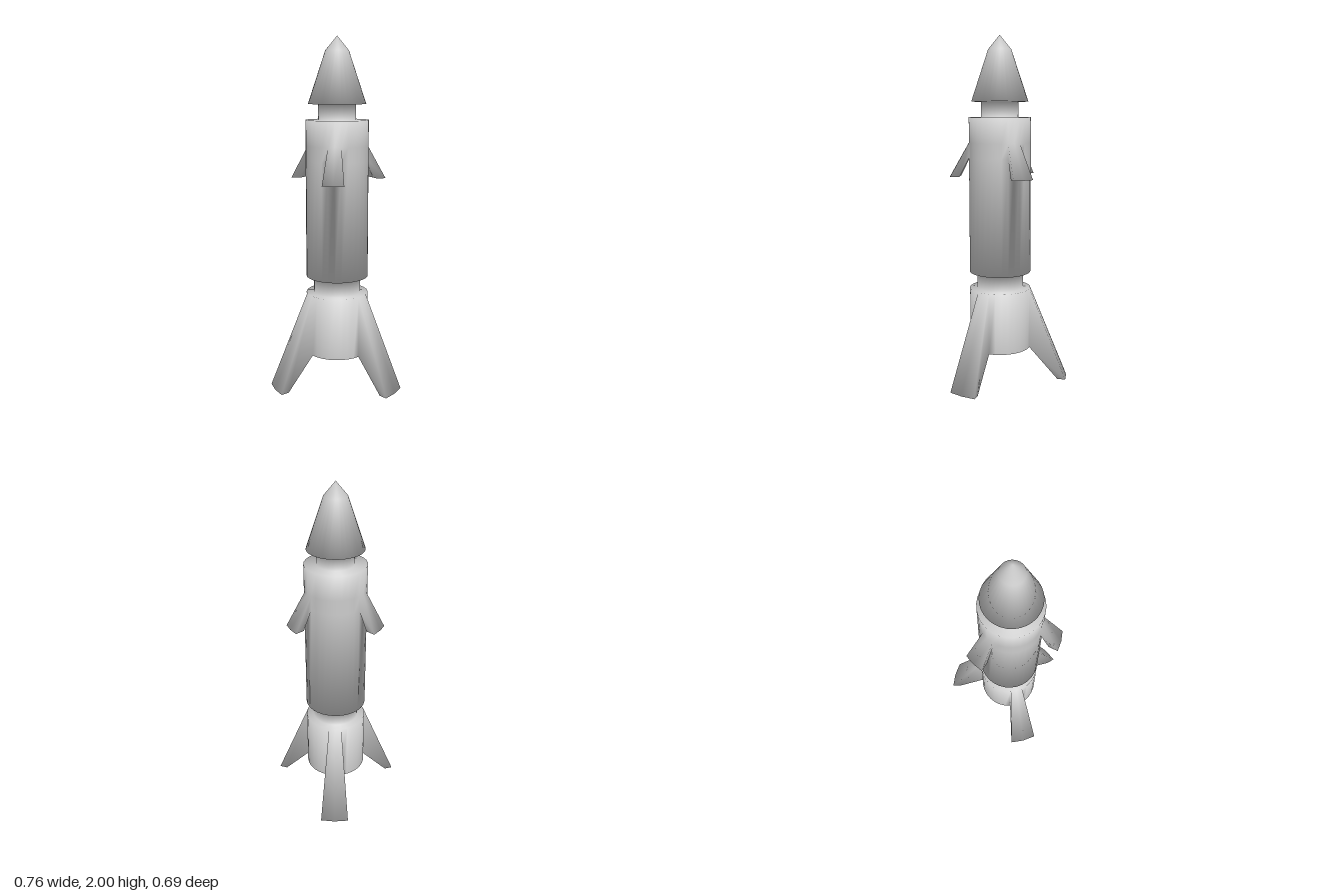
import * as THREE from 'three';

const SEGMENTS = 30;
const STEP = (Math.PI * 2) / SEGMENTS;

// Hull rings [radius, height] from the open engine rim to the nose tip
const rings = [
  [0.179, 0.182], [0.179, 0.54], [0.135, 0.54], [0.135, 0.638], [0.179, 0.638],
  [0.179, 1.31], [0.179, 1.395], [0.179, 1.54],
  [0.107, 1.54], [0.107, 1.628], [0.164, 1.628], [0.066, 1.92], [0, 2],
];

// Each hull part spans a run of rings
const sections = [
  ['engineSection', 0, 2], ['waist', 2, 3], ['body', 3, 8],
  ['neck', 8, 9], ['noseCone', 9, 12],
];

// Fins grow out of two facets of a band; tips are [radius, height], inner then outer
const finKinds = [
  { name: 'landingFin', band: 0, columns: [5, 15, 25], tips: [[0.35, 0], [0.398, 0]] },
  { name: 'upperFin', band: 5, columns: [0, 10, 20], tips: [[0.235, 1.2], [0.29, 1.2]] },
];

// Normals weighted by corner angle, so the joined parts shade into each other
function smoothNormals(positions, index) {
  const normals = positions.map(() => 0);
  const point = (i) => new THREE.Vector3().fromArray(positions, i * 3);
  for (let t = 0; t < index.length; t += 3) {
    const ids = index.slice(t, t + 3);
    const p = ids.map(point);
    for (let k = 0; k < 3; k++) {
      const u = p[(k + 1) % 3].clone().sub(p[k]);
      const v = p[(k + 2) % 3].clone().sub(p[k]);
      const n = u.clone().cross(v).setLength(u.angleTo(v));
      n.toArray().forEach((value, axis) => { normals[ids[k] * 3 + axis] += value; });
    }
  }
  for (let i = 0; i < normals.length; i += 3) {
    new THREE.Vector3().fromArray(normals, i).normalize().toArray(normals, i);
  }
  return normals;
}

export function createModel() {
  const positions = [];
  const parts = [];

  const addPoint = ([r, y], column) => {
    positions.push(r * Math.sin(column * STEP), y, r * Math.cos(column * STEP));
    return positions.length / 3 - 1;
  };
  const addPart = (name) => {
    const part = { name, index: [] };
    parts.push(part);
    return part.index;
  };
  // Quad listed counter-clockwise; collapses to a triangle at the nose tip
  const quad = (index, a, b, c, d) => {
    index.push(a, b, c);
    if (c !== d) index.push(a, c, d);
  };

  // Ring points, with a single shared point at the tip
  const grid = rings.map((ring) => {
    if (ring[0] === 0) return Array(SEGMENTS).fill(addPoint(ring, 0));
    return Array.from({ length: SEGMENTS }, (_, column) => addPoint(ring, column));
  });
  const at = (ring, column) => grid[ring][(column + SEGMENTS) % SEGMENTS];

  // Hull skin, left open where a fin joins it
  const hasFin = (band, column) => finKinds.some((kind) => kind.band === band
    && kind.columns.some((c) => column === c || column === (c + SEGMENTS - 1) % SEGMENTS));
  for (const [name, first, last] of sections) {
    const index = addPart(name);
    for (let band = first; band < last; band++) {
      for (let c = 0; c < SEGMENTS; c++) {
        if (hasFin(band, c)) continue;
        quad(index, at(band, c), at(band, c + 1), at(band + 1, c + 1), at(band + 1, c));
      }
    }
  }

  // Fins: underside, tip and outer face between slices, then the two flanks
  for (const { name, band, columns, tips } of finKinds) {
    for (const column of columns) {
      const index = addPart(name);
      const slices = [column - 1, column, column + 1].map((c) => [
        at(band, c), addPoint(tips[0], c), addPoint(tips[1], c), at(band + 1, c),
      ]);
      for (let k = 0; k < 2; k++) {
        for (let j = 0; j < 3; j++) {
          quad(index, slices[k][j], slices[k + 1][j], slices[k + 1][j + 1], slices[k][j + 1]);
        }
      }
      quad(index, ...slices[0]);
      quad(index, ...slices[2].slice().reverse());
    }
  }

  // All parts share one set of points and normals
  const allFaces = parts.flatMap((part) => part.index);
  const position = new THREE.Float32BufferAttribute(positions, 3);
  const normal = new THREE.Float32BufferAttribute(smoothNormals(positions, allFaces), 3);
  const material = new THREE.MeshStandardMaterial({ color: 0xcccccc, side: THREE.DoubleSide });

  const rocket = new THREE.Group();
  rocket.name = 'rocket';
  for (const { name, index } of parts) {
    const geometry = new THREE.BufferGeometry();
    geometry.setAttribute('position', position);
    geometry.setAttribute('normal', normal);
    geometry.setIndex(index);
    const mesh = new THREE.Mesh(geometry, material);
    mesh.name = name;
    rocket.add(mesh);
  }

  // The hull axis sits slightly forward so the fins' extents are centred
  rocket.position.z = 0.053;
  const model = new THREE.Group();
  model.add(rocket);
  return model;
}
